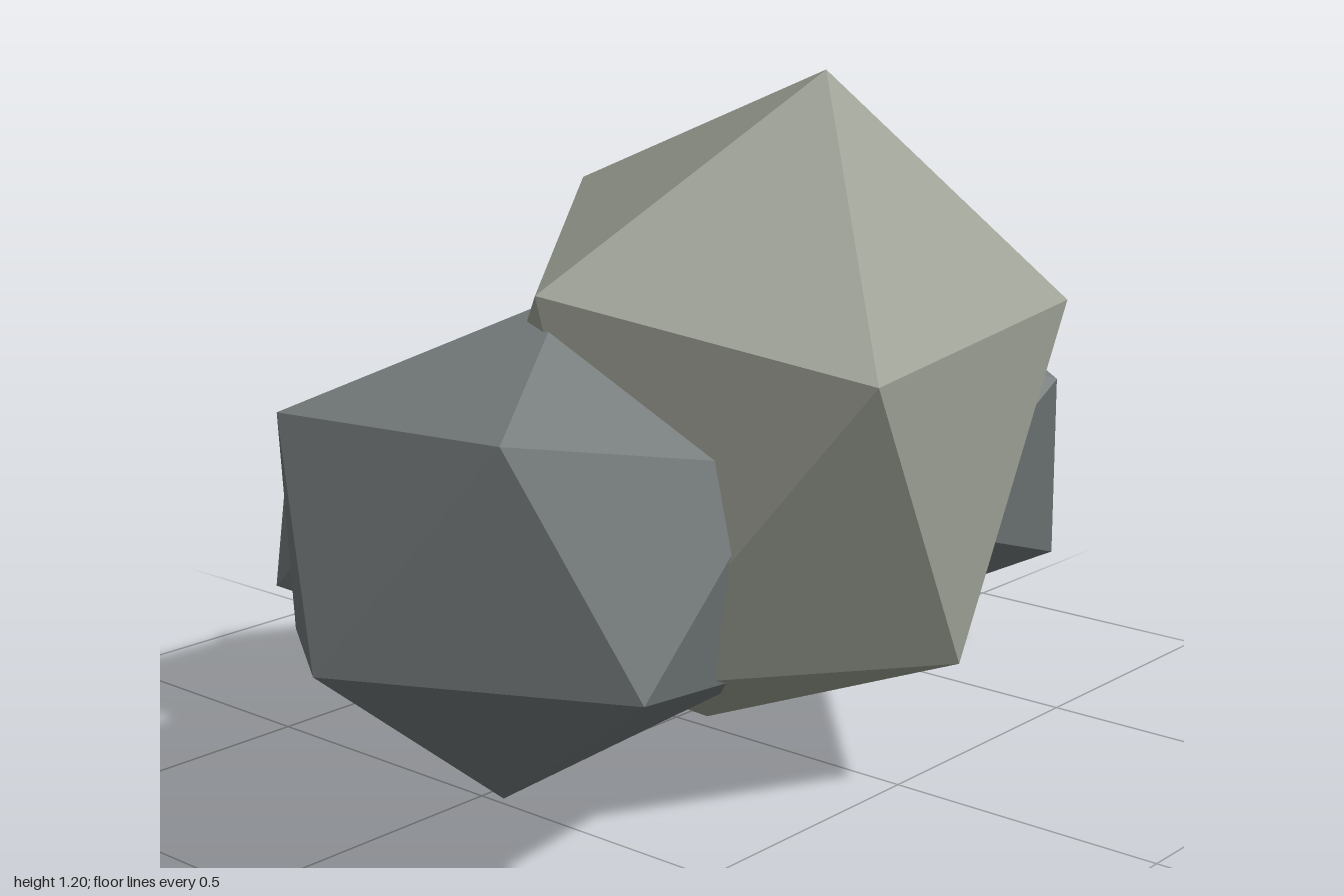
import * as THREE from 'three';
import { ConvexGeometry } from 'three/addons/geometries/ConvexGeometry.js';
import { RoundedBoxGeometry } from 'three/addons/geometries/RoundedBoxGeometry.js';

const V = (a) => new THREE.Vector3(...a);

// Skewed icosahedron: a centre plus one face (apex, r0, r1) relative to it.
// The rest of the ring around the apex follows from the golden ratio,
// and each corner has an opposite one.
function rockGeometry(apex, r0, r1) {
  const k = (Math.sqrt(5) - 1) / 2;
  const top = V(apex);
  const ring = [V(r0), V(r1)];
  while (ring.length < 5) {
    const n = ring.length;
    ring.push(ring[n - 1].clone().add(top).multiplyScalar(k).sub(ring[n - 2]));
  }
  const half = [top, ...ring];
  return new ConvexGeometry([...half, ...half.map((p) => p.clone().negate())]);
}

export function createModel() {
  const group = new THREE.Group();
  const paleStone = new THREE.MeshStandardMaterial({ color: 0x9ea296, flatShading: true });
  const darkStone = new THREE.MeshStandardMaterial({ color: 0x747a7a, flatShading: true });
  const green = new THREE.MeshStandardMaterial({ color: 0x3f8a5f });

  // Boulders: name, material, centre, then one face relative to the centre
  const rocks = [
    ['mainBoulder', paleStone, [0.03, 0.602, 0.175],
      [-0.01, 0.6, 0.135], [-0.56, 0.28, -0.005], [-0.34, 0.17, 0.495]],
    ['rightBoulder', darkStone, [0.56, 0.43, 0.04],
      [0.44, 0.035, 0.07], [0.11, 0.345, -0.01], [0.11, 0.15, 0.33]],
    ['leftBoulder', darkStone, [-0.5, 0.46, 0.13],
      [-0.5, -0.075, 0.04], [-0.36, 0.26, -0.19], [-0.32, 0.27, 0.25]],
    ['backRightBoulder', darkStone, [0.375, 0.38, -0.38],
      [0.045, 0.28, -0.07], [0.055, 0.05, -0.29], [0.355, 0.06, -0.09]],
    ['backLeftBoulder', darkStone, [-0.207, 0.38, -0.383],
      [-0.193, 0.15, -0.202], [0.167, 0.16, -0.177], [-0.023, -0.07, -0.287]],
  ];
  for (const [name, material, centre, ...face] of rocks) {
    const mesh = new THREE.Mesh(rockGeometry(...face), material);
    mesh.name = name;
    mesh.position.set(...centre);
    group.add(mesh);
  }

  // Small moss slabs lodged behind the main boulder
  const slab = new RoundedBoxGeometry(0.23, 0.045, 0.095, 2, 0.018);
  const mosses = [
    ['mossRight', [0.11, 0.595, -0.325], 0.11],
    ['mossLeft', [-0.33, 0.58, -0.25], 0.14],
  ];
  for (const [name, position, turn] of mosses) {
    const mesh = new THREE.Mesh(slab, green);
    mesh.name = name;
    mesh.position.set(...position);
    mesh.rotation.y = turn;
    group.add(mesh);
  }
  return group;
}
